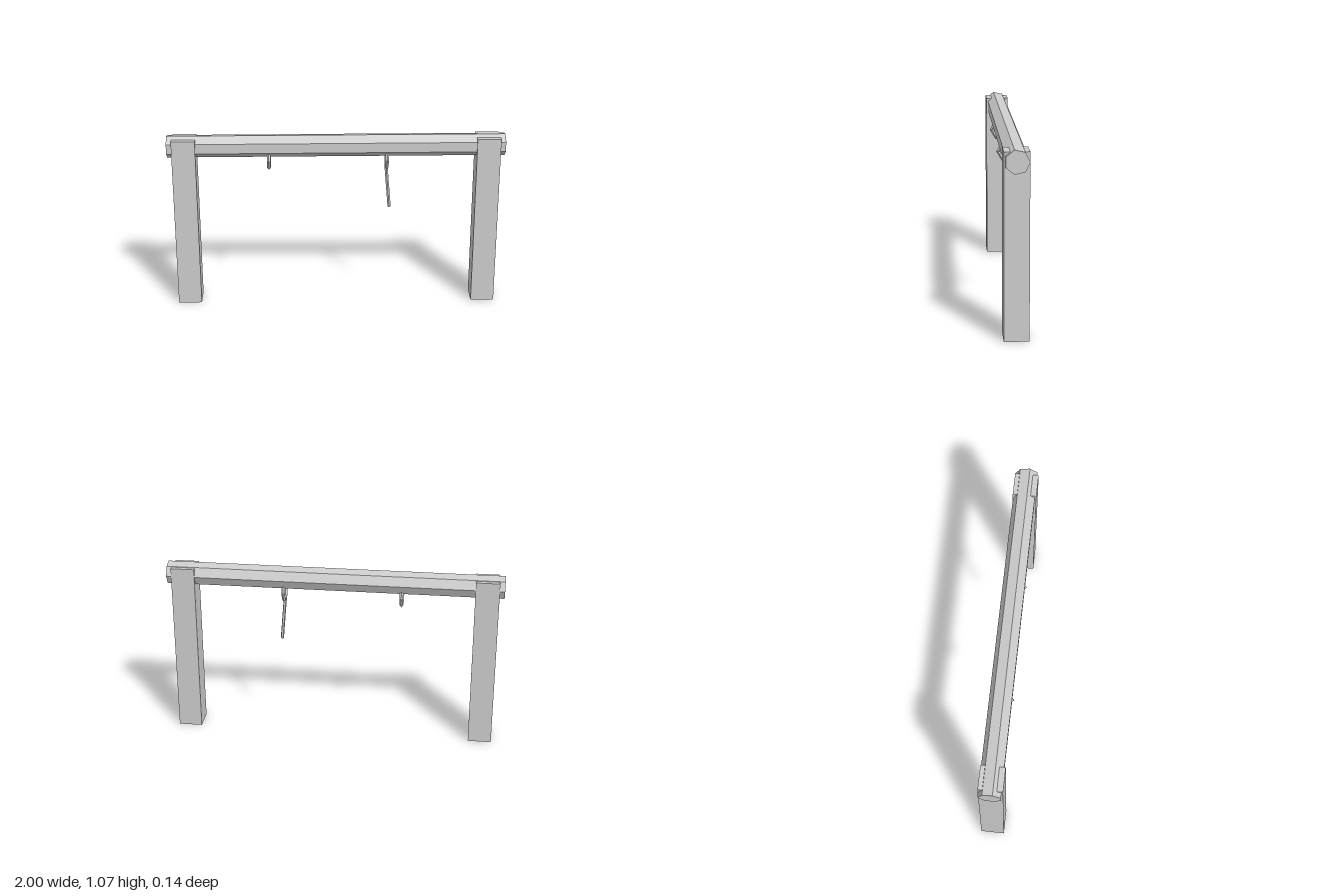
import * as THREE from 'three';

export function createModel() {
  const model = new THREE.Group();
  const grey = new THREE.MeshStandardMaterial({ color: 0xcccccc, flatShading: true });
  grey.name = 'plain grey';

  function add(name, geometry, x, y, z = 0) {
    const mesh = new THREE.Mesh(geometry, grey);
    mesh.name = name;
    mesh.position.set(x, y, z);
    model.add(mesh);
    return mesh;
  }

  // Two square posts
  for (const side of [-1, 1]) {
    add(side > 0 ? 'leftPost' : 'rightPost', new THREE.BoxGeometry(0.14, 1.05, 0.14), side * 0.9, 0.525);
  }

  // Seven-sided crossbeam with one edge pointing to the back
  const beam = new THREE.CylinderGeometry(0.068, 0.068, 2, 7, 1, false, Math.PI);
  beam.rotateZ(Math.PI / 2);
  add('crossbeam', beam, 0, 1);

  // Six-sided rings sunk into the underside of the beam
  const ring = new THREE.TorusGeometry(0.061, 0.0105, 4, 6);
  ring.rotateY(Math.PI / 2);
  add('rightRing', ring, -0.4, 0.92);
  add('leftRing', ring, 0.3, 0.92);

  // Thin rod hanging at a slant from the left ring
  const rod = add('hangingRod', new THREE.CylinderGeometry(0.01, 0.01, 0.27, 5), 0.308, 0.736);
  rod.rotation.z = 0.085;

  return model;
}
